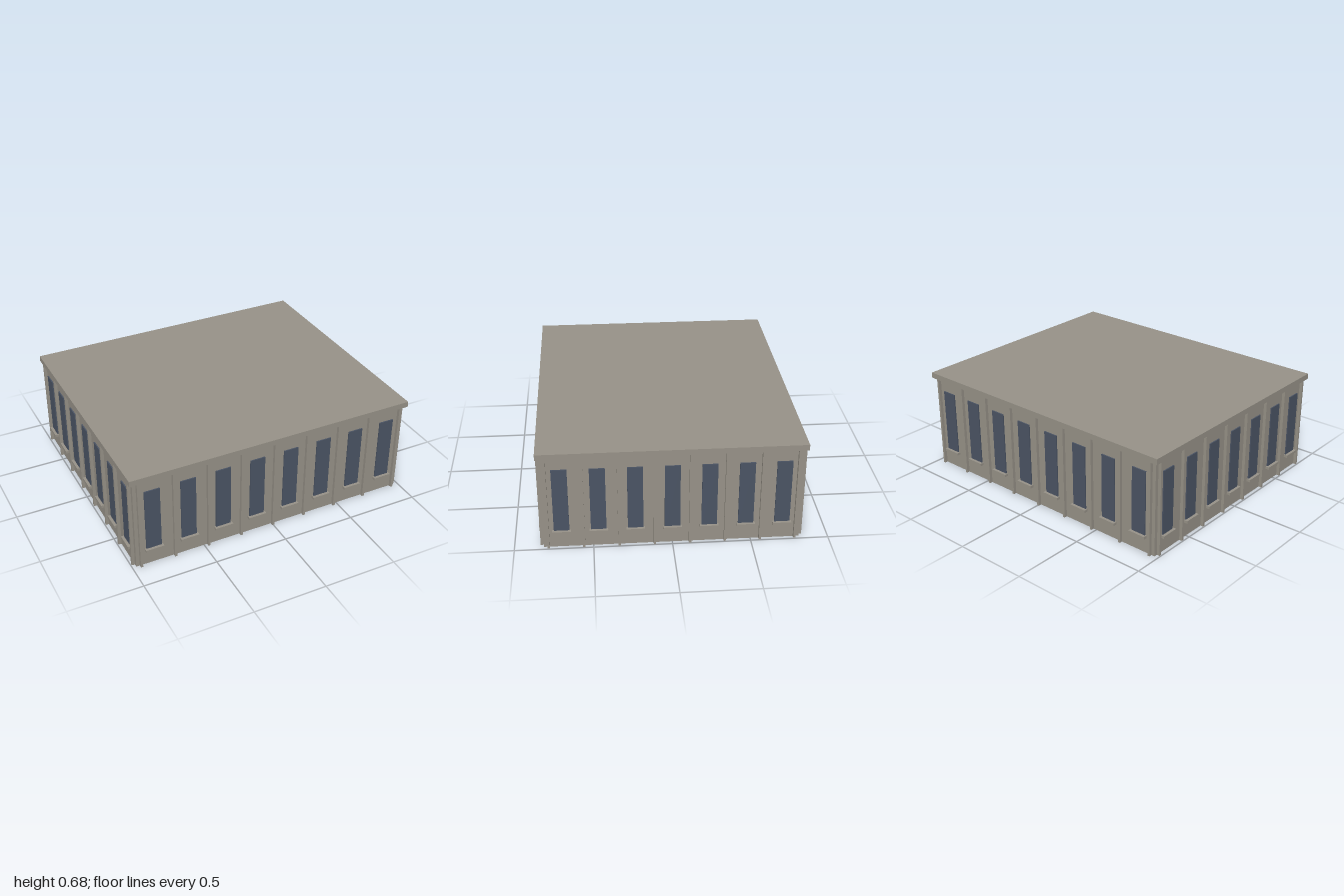
import * as THREE from 'three';

export function createModel() {
  const model = new THREE.Group();
  model.name = 'building';
  const stone = new THREE.MeshStandardMaterial({ color: 0x979288 });
  stone.name = 'warm grey stone';
  const glass = new THREE.MeshStandardMaterial({ color: 0x4b5464 });
  glass.name = 'slate blue glass';

  const HX = 0.973, HZ = 0.815;   // wall half extents
  const EAVES = 0.645, TOP = 0.684;

  // Box placed by its centre x, bottom y and centre z
  function box(parent, name, material, w, h, d, x, y, z) {
    const mesh = new THREE.Mesh(new THREE.BoxGeometry(w, h, d), material);
    mesh.name = name;
    mesh.position.set(x, y + h / 2, z);
    parent.add(mesh);
  }

  // Main body and overhanging roof slab
  box(model, 'walls', stone, HX * 2, EAVES, HZ * 2, 0, 0, 0);
  box(model, 'roofSlab', stone, 1.996, TOP - EAVES, 1.676, 0, EAVES, 0);

  // One facade, built facing +z with the wall plane at z = 0
  function facade(name, half, bays, windowPitch, windowWidth, sillWidth) {
    const group = new THREE.Group();
    group.name = name;
    const first = half - 0.031;
    for (let i = 0; i <= bays; i++) {
      const x = -first + (2 * first * i) / bays;
      box(group, 'pilaster', stone, 0.015, EAVES, 0.021, x, 0, 0.0105);
    }
    for (let i = 0; i < bays; i++) {
      const x = (i - (bays - 1) / 2) * windowPitch;
      box(group, 'window', glass, windowWidth, 0.443, 0.008, x, 0.12, 0.004);
      box(group, 'windowSill', stone, sillWidth, 0.018, 0.027, x, 0.106, 0.0135);
    }
    model.add(group);
    return group;
  }

  // Long facades (front, back) and short facades (left, right)
  for (const side of [1, -1]) {
    const long = facade(side > 0 ? 'frontFacade' : 'backFacade', HX, 8, 0.2425, 0.104, 0.124);
    long.position.z = side * HZ;
    long.rotation.y = side > 0 ? 0 : Math.PI;

    const short = facade(side > 0 ? 'leftFacade' : 'rightFacade', HZ, 7, 0.2325, 0.098, 0.118);
    short.position.x = side * HX;
    short.rotation.y = (side * Math.PI) / 2;
  }
  return model;
}
